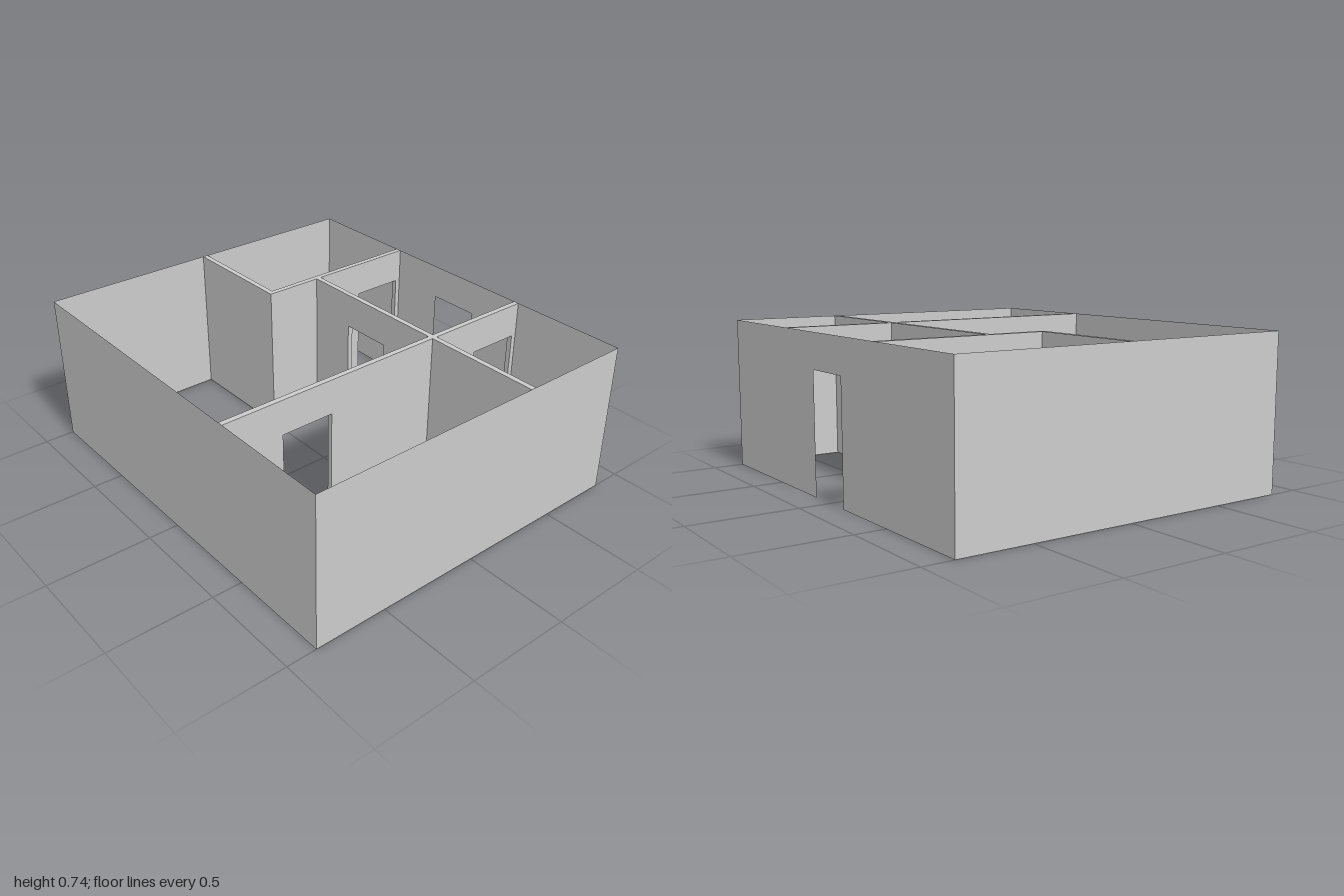
import * as THREE from 'three';

const HEIGHT = 0.742, DOOR_TOP = 0.575;
const HALF_X = 0.855, HALF_Z = 1;

// Wall outline from a to b along its length, notched by an optional doorway
function wallShape(a, b, door) {
  const s = new THREE.Shape();
  s.moveTo(a, 0);
  if (door) {
    s.lineTo(door[0], 0);
    s.lineTo(door[0], DOOR_TOP);
    s.lineTo(door[1], DOOR_TOP);
    s.lineTo(door[1], 0);
  }
  s.lineTo(b, 0);
  s.lineTo(b, HEIGHT);
  s.lineTo(a, HEIGHT);
  s.closePath();
  return s;
}

export function createModel() {
  const model = new THREE.Group();
  model.name = 'roomLayout';
  const solid = new THREE.MeshStandardMaterial({ color: 0xcccccc });
  const sheet = new THREE.MeshStandardMaterial({ color: 0xcccccc, side: THREE.DoubleSide });

  // axis 'x': runs along x at depth z = pos; axis 'z': runs along z at x = pos.
  // A thickness of 0 gives a paper-thin sheet.
  function addWall(name, axis, pos, thickness, a, b, door) {
    let geo;
    if (axis === 'x') {
      const shape = wallShape(a, b, door);
      geo = thickness
        ? new THREE.ExtrudeGeometry(shape, { depth: thickness, bevelEnabled: false })
        : new THREE.ShapeGeometry(shape);
      geo.translate(0, 0, pos);
    } else {
      // the quarter turn sends shape x to -z, so the span is mirrored first
      const shape = wallShape(-b, -a, door && [-door[1], -door[0]]);
      geo = thickness
        ? new THREE.ExtrudeGeometry(shape, { depth: thickness, bevelEnabled: false })
        : new THREE.ShapeGeometry(shape);
      geo.rotateY(Math.PI / 2);
      geo.translate(pos, 0, 0);
    }
    const mesh = new THREE.Mesh(geo, thickness ? solid : sheet);
    mesh.name = name;
    model.add(mesh);
  }

  // Thin outer shell, open above and below, with the entrance on the +x side
  addWall('frontOuterWall', 'x', HALF_Z, 0, -HALF_X, HALF_X);
  addWall('backOuterWall', 'x', -HALF_Z, 0, -HALF_X, HALF_X);
  addWall('rightOuterWall', 'z', -HALF_X, 0, -HALF_Z, HALF_Z);
  addWall('leftOuterWall', 'z', HALF_X, 0, -HALF_Z, HALF_Z, [-0.13, 0.13]);

  // Cross partition between front and middle rooms, split where the long one meets it
  const T = 0.026, crossZ = 0.393, longX = 0.285, rearZ = -0.434;
  addWall('crossPartitionRight', 'x', crossZ, T, -HALF_X, longX + T / 2, [-0.56, -0.3]);
  addWall('crossPartitionLeft', 'x', crossZ, T, longX + T / 2, HALF_X, [0.57, 0.83]);

  // Long partition, before and behind the cross partition
  addWall('longPartitionFront', 'z', longX, T, crossZ + T, HALF_Z);
  addWall('longPartitionMiddle', 'z', longX, T, rearZ + T, crossZ, [-0.16, 0.1]);

  // Rear room partitions
  addWall('rearPartition', 'x', rearZ, T, 0, HALF_X, [0.57, 0.83]);
  addWall('rearSidePartition', 'z', 0, T, -HALF_Z, rearZ);

  return model;
}
